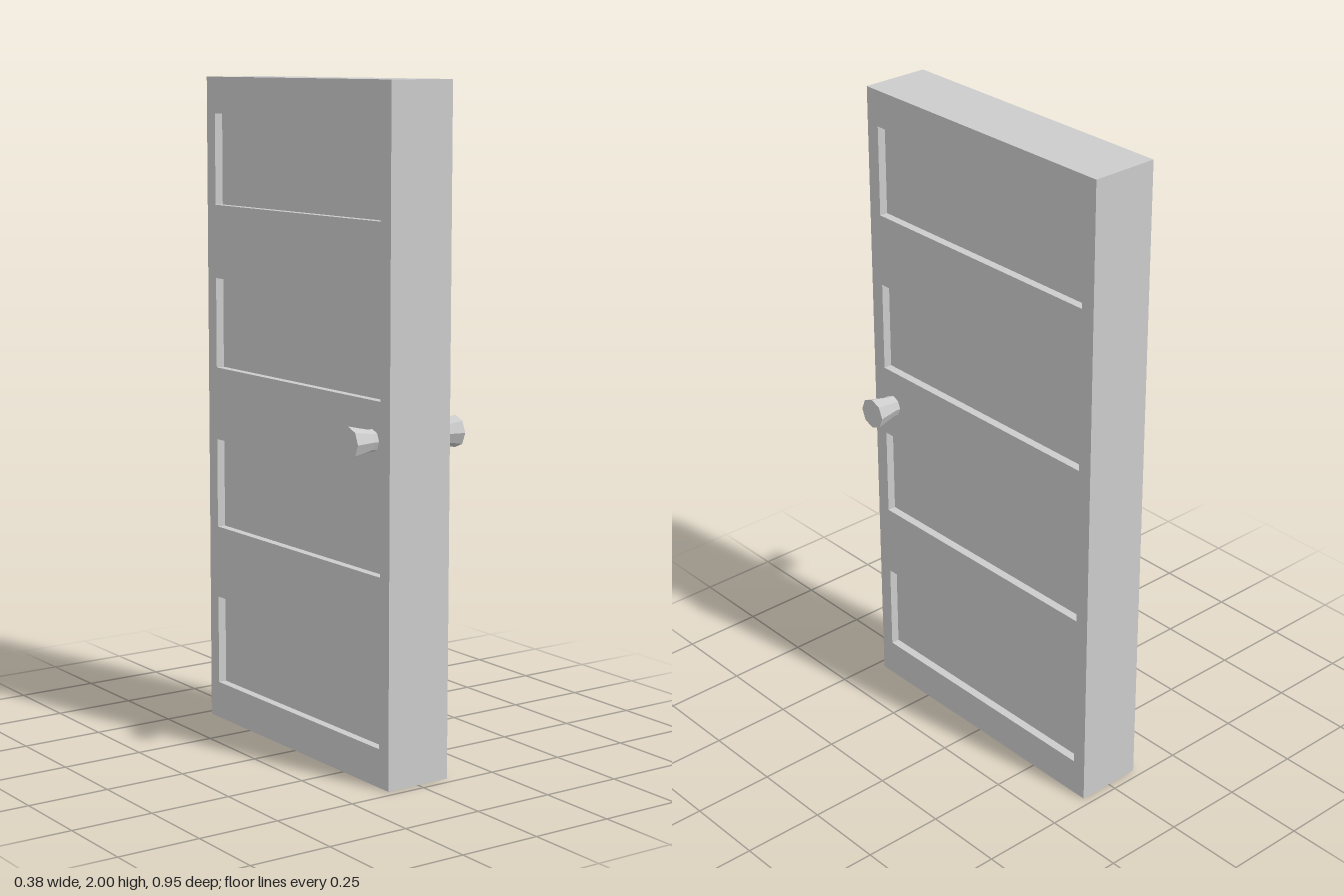
import * as THREE from 'three';

const material = new THREE.MeshStandardMaterial({ color: 0xcccccc, flatShading: true });

const HALF_THICK = 0.105, HALF_WIDTH = 0.473, HEIGHT = 2;
const PANEL_HALF_WIDTH = 0.428, PANEL_HEIGHT = 0.276, PANEL_DEPTH = 0.026;
const PANEL_CENTRES = [0.252, 0.752, 1.252, 1.752];

function addMesh(parent, name, geometry) {
  const mesh = new THREE.Mesh(geometry, material);
  mesh.name = name;
  parent.add(mesh);
  return mesh;
}

// Rectangle outline, used for the slab and its panel openings
function rectangle(path, halfWidth, y0, y1) {
  path.moveTo(-halfWidth, y0);
  path.lineTo(halfWidth, y0);
  path.lineTo(halfWidth, y1);
  path.lineTo(-halfWidth, y1);
  path.closePath();
  return path;
}

// Door slab with four openings cut through its thickness
function frameGeometry() {
  const shape = rectangle(new THREE.Shape(), HALF_WIDTH, 0, HEIGHT);
  for (const y of PANEL_CENTRES) {
    shape.holes.push(rectangle(new THREE.Path(), PANEL_HALF_WIDTH, y - PANEL_HEIGHT / 2, y + PANEL_HEIGHT / 2));
  }
  const geometry = new THREE.ExtrudeGeometry(shape, { depth: HALF_THICK * 2, bevelEnabled: false });
  geometry.translate(0, 0, -HALF_THICK);
  return geometry.rotateY(-Math.PI / 2);
}

// Eight-sided knob: short neck flaring to a flat end
function knobGeometry() {
  const profile = [[0.0325, 0.1], [0.0325, 0.122], [0.0475, 0.188], [0, 0.188]];
  return new THREE.LatheGeometry(profile.map(([r, y]) => new THREE.Vector2(r, y)), 8);
}

export function createModel() {
  const door = new THREE.Group();
  door.name = 'door';

  addMesh(door, 'doorFrame', frameGeometry());

  // Recessed panels, sunk equally on both faces
  PANEL_CENTRES.forEach((y, i) => {
    const panel = addMesh(door, `panel${i + 1}`,
      new THREE.BoxGeometry((HALF_THICK - PANEL_DEPTH) * 2, PANEL_HEIGHT, PANEL_HALF_WIDTH * 2));
    panel.position.y = y;
  });

  // One knob on each face
  for (const side of [1, -1]) {
    const knob = addMesh(door, side > 0 ? 'leftKnob' : 'rightKnob', knobGeometry());
    knob.rotation.z = -side * Math.PI / 2;
    knob.position.set(0, 1, 0.39);
  }
  return door;
}
